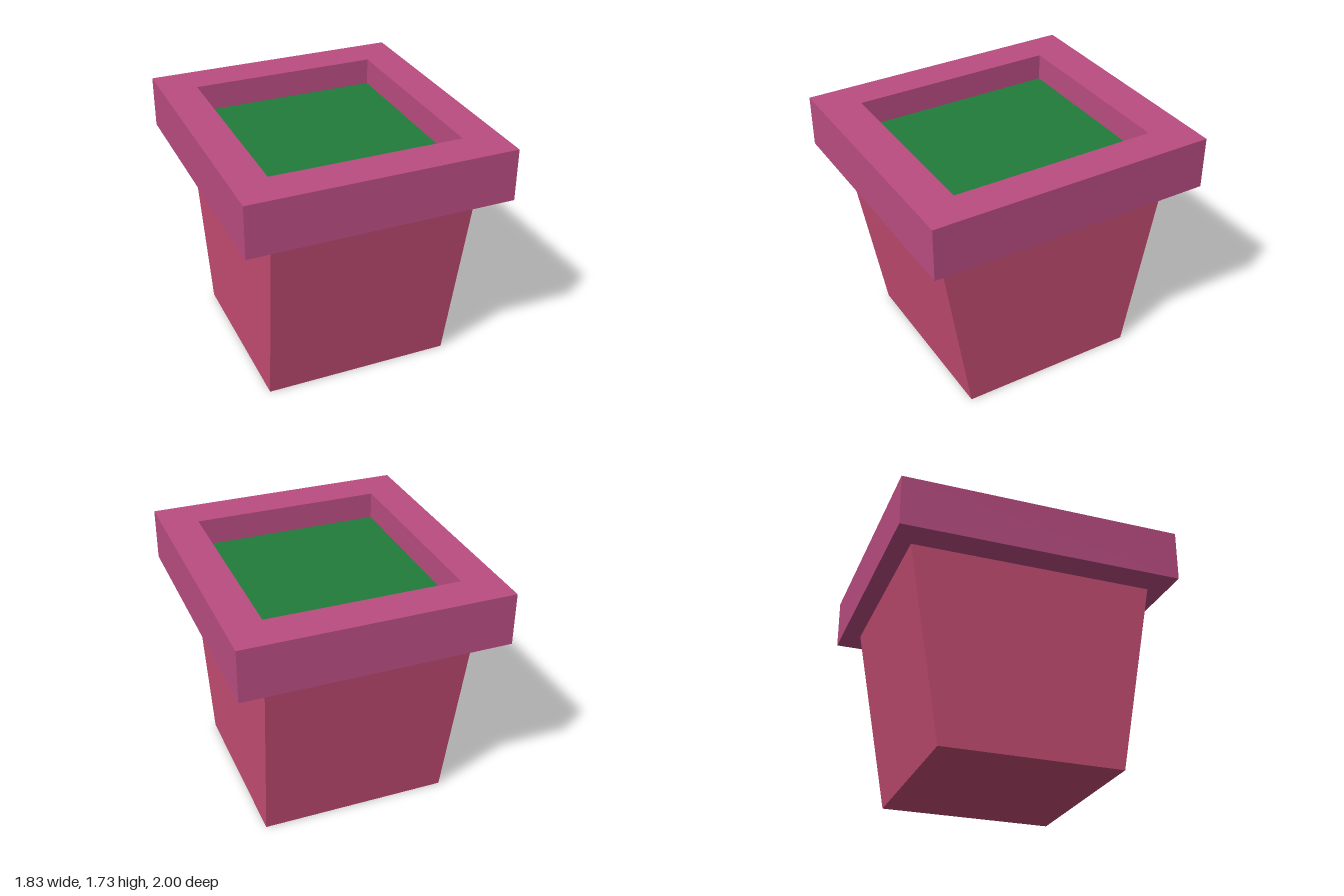
import * as THREE from 'three';

const BODY_TOP = 1.365, RIM_TOP = 1.73, SOIL_Y = 1.54;

function material(name, color) {
  const m = new THREE.MeshStandardMaterial({ color });
  m.name = name;
  return m;
}

function addMesh(group, name, geometry, mat) {
  const mesh = new THREE.Mesh(geometry, mat);
  mesh.name = name;
  group.add(mesh);
  return mesh;
}

// Closed path around a centred rectangle
function rectangle(path, hx, hz) {
  path.moveTo(-hx, -hz);
  path.lineTo(hx, -hz);
  path.lineTo(hx, hz);
  path.lineTo(-hx, hz);
  path.closePath();
  return path;
}

// Box whose lower and upper ends have different half-widths
function taperedBox(bottom, top, height) {
  const g = new THREE.BoxGeometry(2, height, 2).translate(0, height / 2, 0);
  const p = g.attributes.position;
  for (let i = 0; i < p.count; i++) {
    const [hx, hz] = p.getY(i) > height / 2 ? top : bottom;
    p.setX(i, p.getX(i) * hx);
    p.setZ(i, p.getZ(i) * hz);
  }
  g.computeVertexNormals();
  return g;
}

export function createModel() {
  const pot = new THREE.Group();
  pot.name = 'flowerPot';
  const bodyPink = material('bodyPink', 0xc94e76);
  const rimMagenta = material('rimMagenta', 0xbb4d82);
  const soilGreen = material('soilGreen', 0x237c3a);

  // Tapered body
  addMesh(pot, 'body', taperedBox([0.665, 0.635], [0.71, 0.865], BODY_TOP), bodyPink);

  // Square rim with an opening
  const outline = rectangle(new THREE.Shape(), 0.917, 1);
  outline.holes.push(rectangle(new THREE.Path(), 0.665, 0.723));
  const rim = new THREE.ExtrudeGeometry(outline, { depth: RIM_TOP - BODY_TOP, bevelEnabled: false });
  rim.rotateX(-Math.PI / 2).translate(0, BODY_TOP, 0);
  addMesh(pot, 'rim', rim, rimMagenta);

  // Filling inside the rim
  const soil = new THREE.PlaneGeometry(1.33, 1.446).rotateX(-Math.PI / 2).translate(0, SOIL_Y, 0);
  addMesh(pot, 'filling', soil, soilGreen);

  return pot;
}
